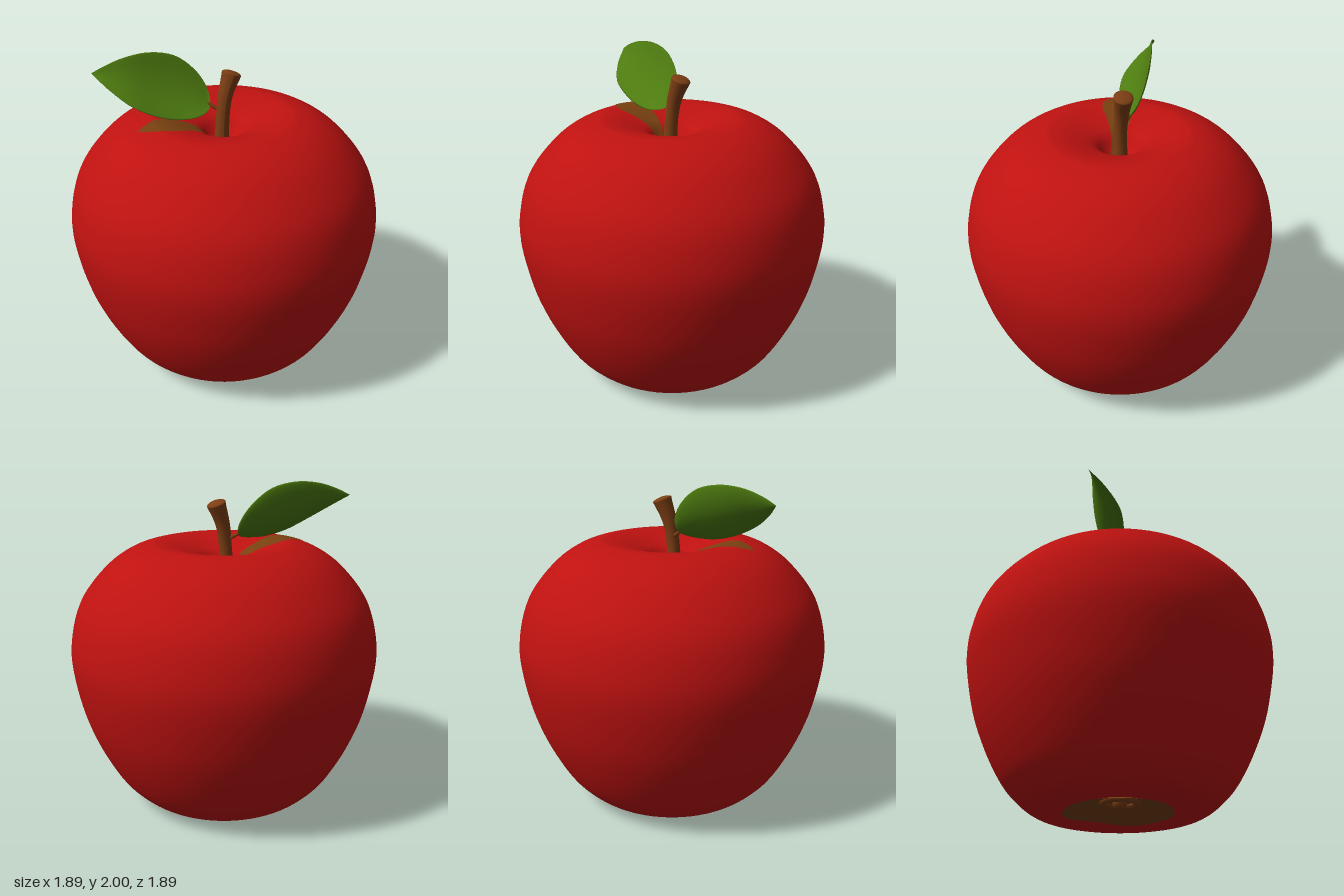
import * as THREE from 'three';
import { mergeVertices } from 'three/addons/utils/BufferGeometryUtils.js';

const material = (name, color, side = THREE.FrontSide) => {
  const m = new THREE.MeshStandardMaterial({ color, side });
  m.name = name;
  return m;
};

const V = (p) => new THREE.Vector3(...p);
const curve = (points) => new THREE.CatmullRomCurve3(points.map(V));

// Grid surface from a rule (u, v) -> Vector3
function sheet(rule, nu, nv) {
  const pos = [], index = [];
  for (let i = 0; i <= nu; i++)
    for (let j = 0; j <= nv; j++) pos.push(...rule(i / nu, j / nv).toArray());
  for (let i = 0; i < nu; i++)
    for (let j = 0; j < nv; j++) {
      const a = i * (nv + 1) + j, b = a + nv + 1;
      index.push(a, a + 1, b, b, a + 1, b + 1);
    }
  let g = new THREE.BufferGeometry();
  g.setAttribute('position', new THREE.Float32BufferAttribute(pos, 3));
  g.setIndex(index);
  g = mergeVertices(g, 1e-5);
  g.computeVertexNormals();
  return g;
}

// Fruit profile from the bottom hollow, round the side, into the top hollow
const profile = new THREE.SplineCurve([
  [0, 0.1], [0.1, 0.09], [0.22, 0.06], [0.34, 0.025], [0.45, 0.003], [0.54, 0.035],
  [0.63, 0.11], [0.71, 0.21], [0.81, 0.4], [0.89, 0.62], [0.943, 0.9], [0.932, 1.1],
  [0.865, 1.3], [0.72, 1.48], [0.58, 1.58], [0.45, 1.624], [0.38, 1.626], [0.3, 1.61],
  [0.2, 1.575], [0.14, 1.54], [0.08, 1.47], [0, 1.42],
].map(([x, y]) => new THREE.Vector2(x, y))).getPoints(110);
profile[0].x = profile[profile.length - 1].x = 0;

// Height of the fruit at radius r, inside the top or the bottom hollow
function heightAt(r, top) {
  const pts = top ? [...profile].reverse() : profile;
  const i = Math.max(1, pts.findIndex((p) => p.x >= r));
  const a = pts[i - 1], b = pts[i];
  return THREE.MathUtils.mapLinear(r, a.x, b.x, a.y, b.y);
}

export function createModel() {
  const model = new THREE.Group();
  const red = material('red skin', 0xbe1210);
  const brown = material('brown wood', 0x7c3e14);
  const green = material('leaf green', 0x4e7c10, THREE.DoubleSide);
  const russet = material('russet patch', 0x784010, THREE.DoubleSide);
  const add = (name, geometry, mat) => {
    const mesh = new THREE.Mesh(geometry, mat);
    mesh.name = name;
    model.add(mesh);
    return mesh;
  };

  add('fruit', new THREE.LatheGeometry(profile, 72), red);

  // Stem: leaning tube that flares at both ends
  const stemPath = curve([[-0.015, 1.4, 0], [-0.008, 1.6, 0], [0.01, 1.74, -0.01], [0.052, 1.865, -0.026]]);
  const stemRadius = (t) => 0.038 + 0.02 * t ** 4 + 0.014 * (1 - t) ** 4;
  const stem = new THREE.TubeGeometry(stemPath, 24, 1, 16);
  const sp = stem.attributes.position;
  const p = new THREE.Vector3();
  for (let i = 0; i < sp.count; i++) {
    const t = Math.floor(i / 17) / 24;
    const c = stemPath.getPointAt(t);
    p.fromBufferAttribute(sp, i).sub(c).multiplyScalar(stemRadius(t)).add(c);
    sp.setXYZ(i, p.x, p.y, p.z);
  }
  stem.computeVertexNormals();
  add('stem', stem, brown);
  const cap = add('stemCap', new THREE.SphereGeometry(0.058, 20, 12), brown);
  cap.position.copy(stemPath.getPoint(1));
  cap.quaternion.setFromUnitVectors(new THREE.Vector3(0, 1, 0), stemPath.getTangent(1));
  cap.scale.y = 0.3;

  // Leaf: lens-shaped cross-sections between its two edges, hollowed towards the front
  const upper = curve([[-0.07, 1.685, -0.04], [-0.075, 1.76, -0.09], [-0.13, 1.86, -0.125], [-0.25, 1.962, -0.143],
    [-0.4, 1.998, -0.14], [-0.55, 1.985, -0.128], [-0.67, 1.945, -0.124], [-0.74, 1.91, -0.13]]);
  const lower = curve([[-0.07, 1.685, -0.04], [-0.1, 1.66, 0.005], [-0.17, 1.645, 0.042], [-0.27, 1.647, 0.055],
    [-0.4, 1.68, 0.06], [-0.54, 1.75, 0.048], [-0.655, 1.835, -0.03], [-0.74, 1.91, -0.13]]);
  const front = new THREE.Vector3(0, 0.5, 0.866);
  add('leaf', sheet((u, v) => {
    const a = v * Math.PI * 2, s = (1 - Math.cos(a)) / 2;
    const hi = upper.getPoint(u), lo = lower.getPoint(u);
    const width = hi.distanceTo(lo);
    const bend = -0.5 * width * s * (1 - s) + 0.035 * width * Math.sin(a);
    return hi.lerp(lo, s).addScaledVector(front, bend);
  }, 32, 24), green);
  add('leafStalk', new THREE.TubeGeometry(
    curve([[0, 1.635, -0.005], [-0.04, 1.662, -0.025], [-0.085, 1.69, -0.045]]), 8, 0.011, 8), brown);

  // Russet patch lying on the skin below the leaf
  const near = curve([[0.06, 0, 0.035], [0.03, 0, 0.06], [-0.08, 0, 0.062], [-0.2, 0, 0.1],
    [-0.34, 0, 0.155], [-0.45, 0, 0.12], [-0.53, 0, 0.06]]);
  const far = curve([[0.06, 0, 0.035], [0.03, 0, 0.01], [-0.08, 0, 0], [-0.2, 0, -0.03],
    [-0.34, 0, -0.035], [-0.45, 0, 0], [-0.53, 0, 0.06]]);
  add('topPatch', sheet((u, v) => {
    const q = far.getPoint(u).lerp(near.getPoint(u), v);
    q.y = heightAt(Math.hypot(q.x, q.z), true) + 0.005;
    return q;
  }, 40, 14), russet);

  // Russet patch in the bottom hollow, with a wavy rim
  add('bottomPatch', sheet((u, v) => {
    const a = v * Math.PI * 2;
    const r = u * (0.325 + 0.014 * Math.sin(3 * a) + 0.008 * Math.cos(5 * a));
    return new THREE.Vector3(r * Math.cos(a), heightAt(r, false) - 0.005, r * Math.sin(a));
  }, 12, 56), russet);

  // Blossom end: raised ring with a central nub
  const ring = add('blossomRing', new THREE.TorusGeometry(0.098, 0.022, 10, 32), brown);
  ring.rotation.x = Math.PI / 2;
  ring.position.y = 0.083;
  const nub = add('blossomNub', new THREE.SphereGeometry(0.045, 16, 12), brown);
  nub.position.y = 0.08;

  return model;
}
